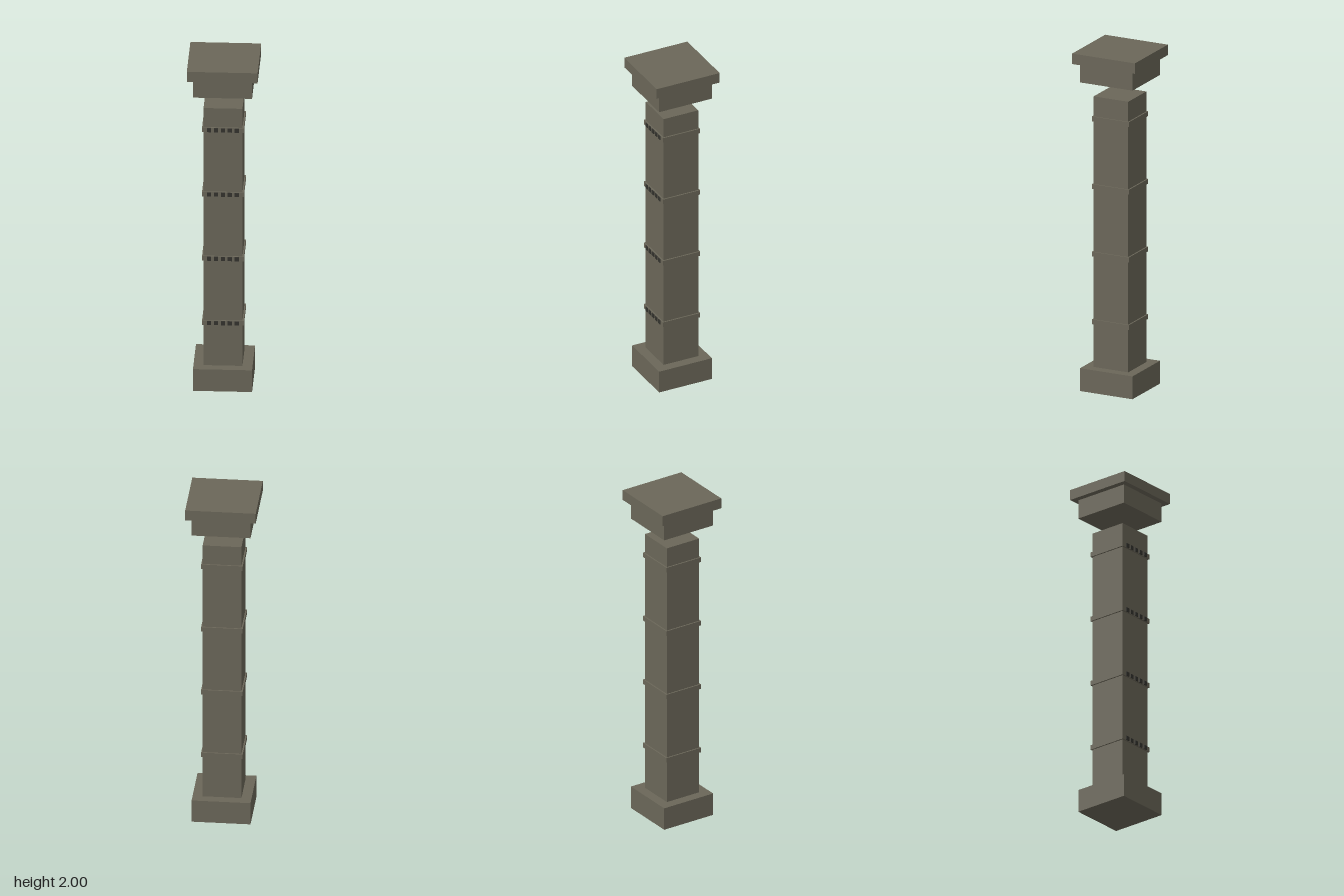
import * as THREE from 'three';

export function createModel() {
  const model = new THREE.Group();
  model.name = 'column';

  const stone = new THREE.MeshStandardMaterial({ color: 0x6b6759 });
  stone.name = 'stone';
  const dark = new THREE.MeshStandardMaterial({ color: 0x34332e });
  dark.name = 'dark inlay';

  // Square block, given by its width and its bottom and top heights
  function block(name, width, bottom, top) {
    const mesh = new THREE.Mesh(new THREE.BoxGeometry(width, top - bottom, width), stone);
    mesh.name = name;
    mesh.position.y = (bottom + top) / 2;
    model.add(mesh);
  }

  block('base', 0.334, 0, 0.135);
  block('shaft', 0.22, 0.135, 1.735);

  // The capital floats above the shaft
  block('capital', 0.334, 1.825, 1.938);
  block('topSlab', 0.4, 1.938, 2);

  // Four bands, each with a row of small inlays on the front
  const inlay = new THREE.BoxGeometry(0.024, 0.024, 0.006);
  for (let i = 1; i <= 4; i++) {
    const y = i * 0.4 + 0.003;
    block('band', 0.236, y - 0.014, y + 0.014);
    for (let k = -2; k <= 2; k++) {
      const mesh = new THREE.Mesh(inlay, dark);
      mesh.name = 'bandInlay';
      mesh.position.set(k * 0.039, y, 0.12);
      model.add(mesh);
    }
  }

  return model;
}
